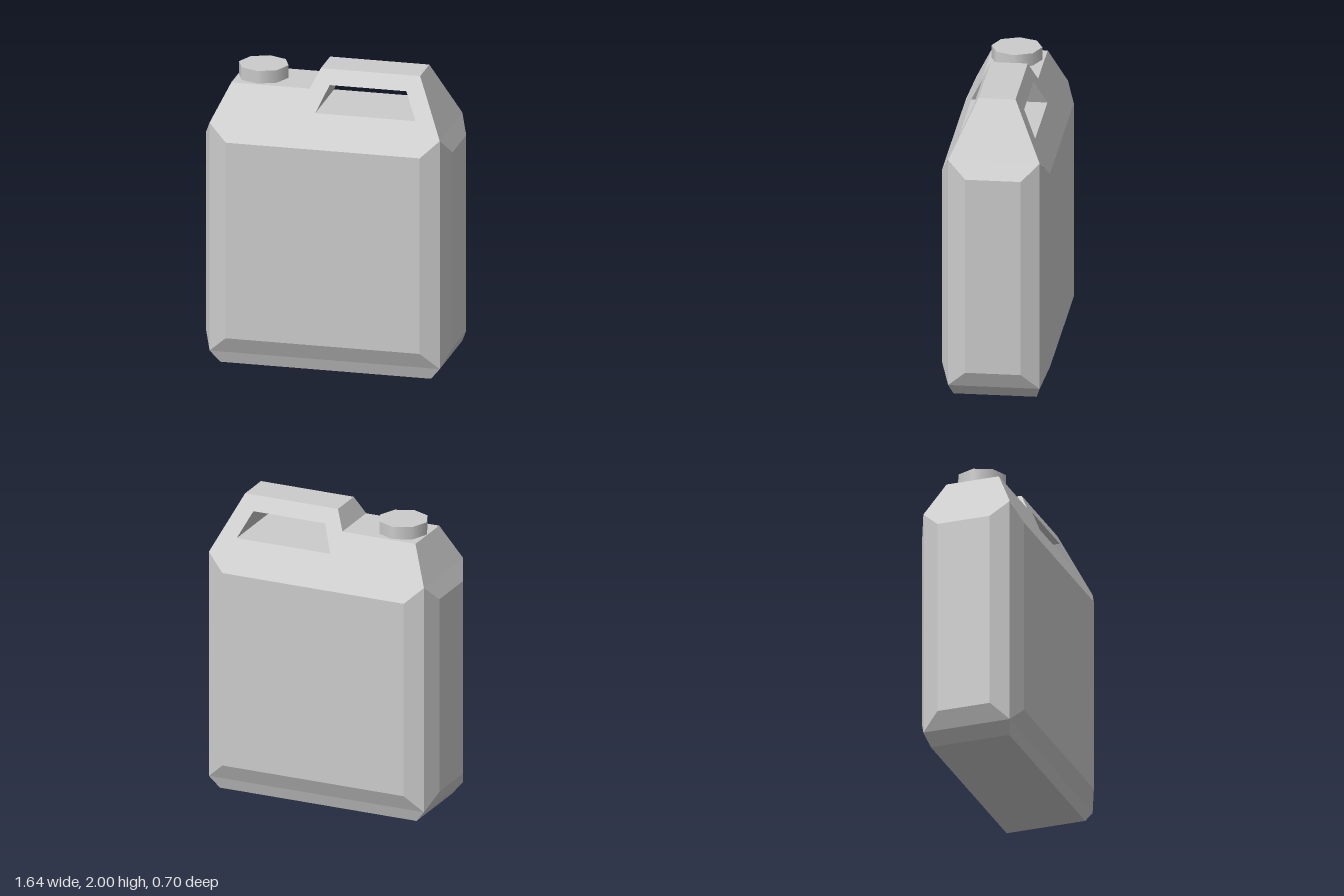
import * as THREE from 'three';

// Half depth of the sloping shoulder at height y
const depthAt = (y) => 0.35 - 0.479 * (y - 1.52);

function flatMesh(name, positions) {
  const geometry = new THREE.BufferGeometry();
  geometry.setAttribute('position', new THREE.Float32BufferAttribute(positions, 3));
  geometry.computeVertexNormals();
  const mesh = new THREE.Mesh(geometry, new THREE.MeshStandardMaterial({ color: 0xcccccc, flatShading: true }));
  mesh.name = name;
  return mesh;
}

function pushQuad(out, a, b, c, d) {
  out.push(...a, ...b, ...c, ...a, ...c, ...d);
}

// Chamfered tank: one quarter, mirrored across x and z
function createTank() {
  const A0 = [0.645, 0.19, 0.35], A1 = [0.645, 1.52, 0.35]; // front panel edge
  const B0 = [0.765, 0.08, 0.297], B1 = [0.765, 1.63, 0.297]; // corner edge
  const C0 = [0.82, 0.19, 0.18], C1 = [0.82, 1.52, 0.18]; // side panel edge
  const D = [0.7, 0, 0.27]; // base corner
  const midX = ([, y, z]) => [0, y, z];
  const midZ = ([x, y]) => [x, y, 0];
  const quads = [
    [midX(A0), A0, A1, midX(A1)], // front panel
    [A0, B0, B1, A1], // corner chamfers
    [B0, C0, C1, B1],
    [C0, midZ(C0), midZ(C1), C1], // side panel
    [midX(B0), B0, A0, midX(A0)], // lower bevels
    [B0, midZ(B0), midZ(C0), C0],
    [midX(D), D, B0, midX(B0)], // foot
    [D, midZ(D), midZ(B0), B0],
    [[0, 0, 0], midZ(D), D, midX(D)], // underside
    [C1, midZ(C1), midZ(B1), B1], // start of the side slope
  ];
  const out = [];
  for (const sx of [1, -1]) for (const sz of [1, -1]) {
    for (const quad of quads) {
      const corners = quad.map(([x, y, z]) => [x * sx, y, z * sz]);
      if (sx * sz < 0) corners.reverse();
      pushQuad(out, ...corners);
    }
  }
  return flatMesh('tank', out);
}

// Tapering shoulder with the grip opening cut through it
function createShoulder() {
  const toPoints = (list) => list.map(([x, y]) => new THREE.Vector2(x, y));
  const crest = toPoints([
    [0.765, 1.63], [0.59, 2], [-0.07, 2], [-0.13, 1.875], [-0.65, 1.875], [-0.765, 1.63],
  ]);
  const grip = toPoints([[-0.075, 1.735], [0, 1.905], [0.51, 1.905], [0.59, 1.735]]);
  const shape = new THREE.Shape([...toPoints([[-0.645, 1.52], [0.645, 1.52]]), ...crest]);
  shape.holes.push(new THREE.Path(grip));

  // Front and back slopes
  const out = [];
  const p = new THREE.ShapeGeometry(shape).toNonIndexed().attributes.position;
  for (let i = 0; i < p.count; i += 3) {
    for (const k of [0, 1, 2]) out.push(p.getX(i + k), p.getY(i + k), depthAt(p.getY(i + k)));
    for (const k of [2, 1, 0]) out.push(p.getX(i + k), p.getY(i + k), -depthAt(p.getY(i + k)));
  }
  // Walls joining the front to the back
  const ribbon = (points) => {
    for (let i = 0; i < points.length - 1; i++) {
      const a = points[i], b = points[i + 1];
      const za = depthAt(a.y), zb = depthAt(b.y);
      pushQuad(out, [a.x, a.y, za], [a.x, a.y, -za], [b.x, b.y, -zb], [b.x, b.y, zb]);
    }
  };
  ribbon(crest);
  ribbon([...grip, grip[0]]);
  return flatMesh('shoulderAndHandle', out);
}

// Eight-sided screw cap
function createCap() {
  const cap = new THREE.Mesh(
    new THREE.CylinderGeometry(0.165, 0.165, 0.085, 8),
    new THREE.MeshStandardMaterial({ color: 0xcccccc }),
  );
  cap.position.set(-0.48, 1.9175, 0);
  cap.name = 'cap';
  return cap;
}

export function createModel() {
  const group = new THREE.Group();
  group.name = 'jerrycan';
  group.add(createTank(), createShoulder(), createCap());
  return group;
}
